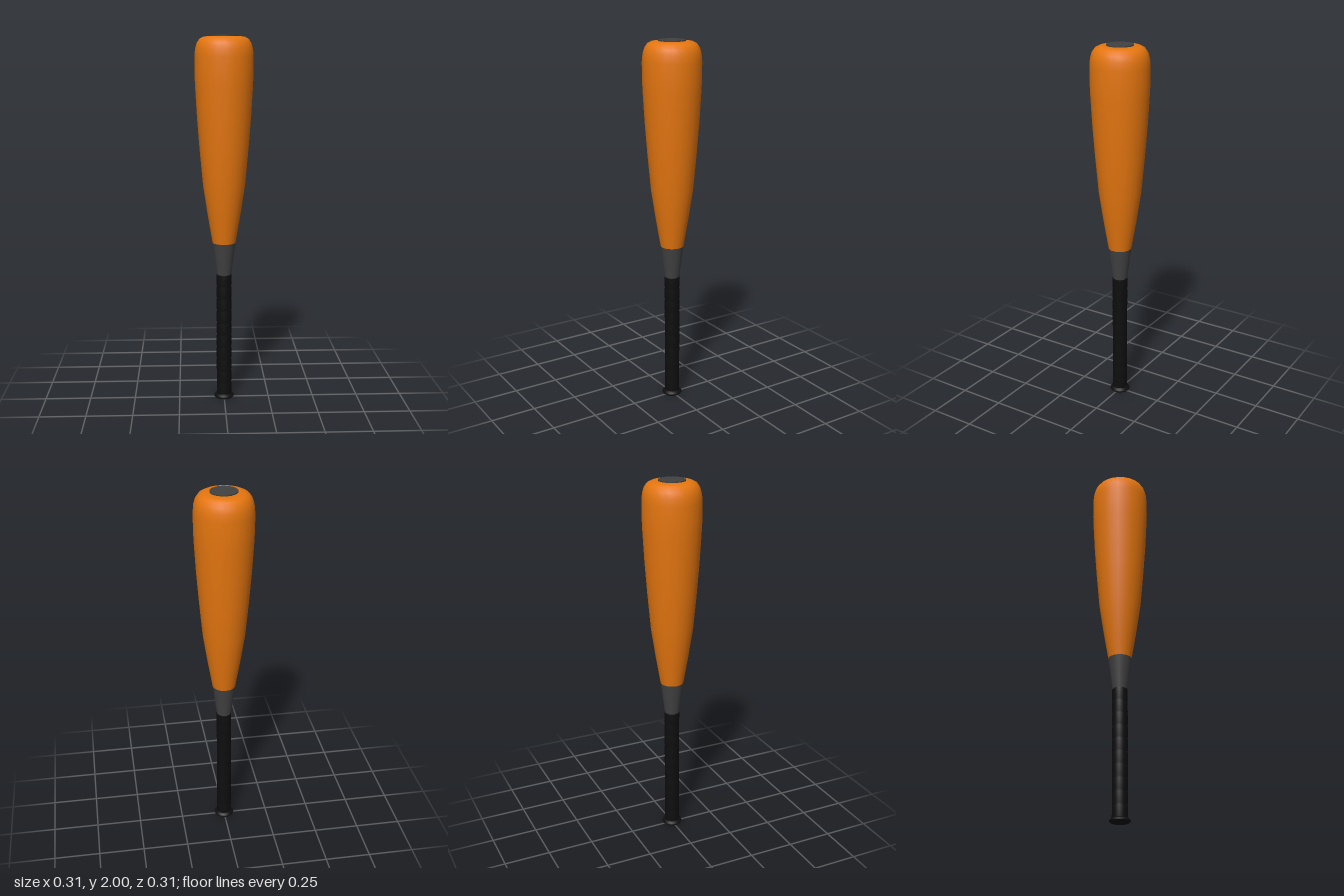
import * as THREE from 'three';

const SIDES = 24;
const orange = new THREE.MeshStandardMaterial({ color: 0xe5760f });
const charcoal = new THREE.MeshStandardMaterial({ color: 0x424242 });
const black = new THREE.MeshStandardMaterial({ color: 0x0e0e0e });
orange.name = 'orange paint';
charcoal.name = 'charcoal trim';
black.name = 'black grip';

// Turned part from [radius, height] pairs, bottom to top
function turned(name, profile, material, sides = SIDES) {
  const points = profile.map(([r, y]) => new THREE.Vector2(r, y));
  const mesh = new THREE.Mesh(new THREE.LatheGeometry(points, sides), material);
  mesh.name = name;
  return mesh;
}

export function createModel() {
  const bat = new THREE.Group();
  bat.name = 'bat';

  // Barrel with rounded shoulder
  bat.add(turned('barrel', [
    [0.063, 0.89], [0.09, 1.05], [0.114, 1.21], [0.131, 1.4], [0.144, 1.57],
    [0.153, 1.73], [0.156, 1.8], [0.156, 1.89], [0.152, 1.93], [0.143, 1.96],
    [0.128, 1.981], [0.108, 1.991], [0.085, 1.994], [0.05, 1.994],
  ], orange));

  // Tapered collar between barrel and grip
  bat.add(turned('collar', [[0.04, 0.712], [0.063, 0.89]], charcoal));

  // End cap: thin disc on the barrel top
  const cap = new THREE.Mesh(new THREE.CylinderGeometry(0.071, 0.071, 0.008, 32), charcoal);
  cap.name = 'endCap';
  cap.position.y = 1.996;
  bat.add(cap);

  // Grip with shallow grooves between the wraps
  const wraps = 10, bottom = 0.02, top = 0.715;
  const step = (top - bottom) / wraps;
  const profile = [];
  for (let i = 0; i < wraps; i++) {
    const y = bottom + i * step;
    profile.push([0.038, y], [0.041, y + 0.006], [0.041, y + step - 0.006]);
  }
  profile.push([0.038, top]);
  bat.add(turned('grip', profile, black));

  // Flared knob and its flat base
  bat.add(turned('knob', [
    [0.047, 0], [0.054, 0.006], [0.055, 0.011], [0.051, 0.017], [0.044, 0.022], [0.038, 0.026],
  ], black));
  const base = new THREE.Mesh(new THREE.CircleGeometry(0.047, SIDES), black);
  base.name = 'knobBase';
  base.rotation.x = Math.PI / 2;
  bat.add(base);

  return bat;
}
